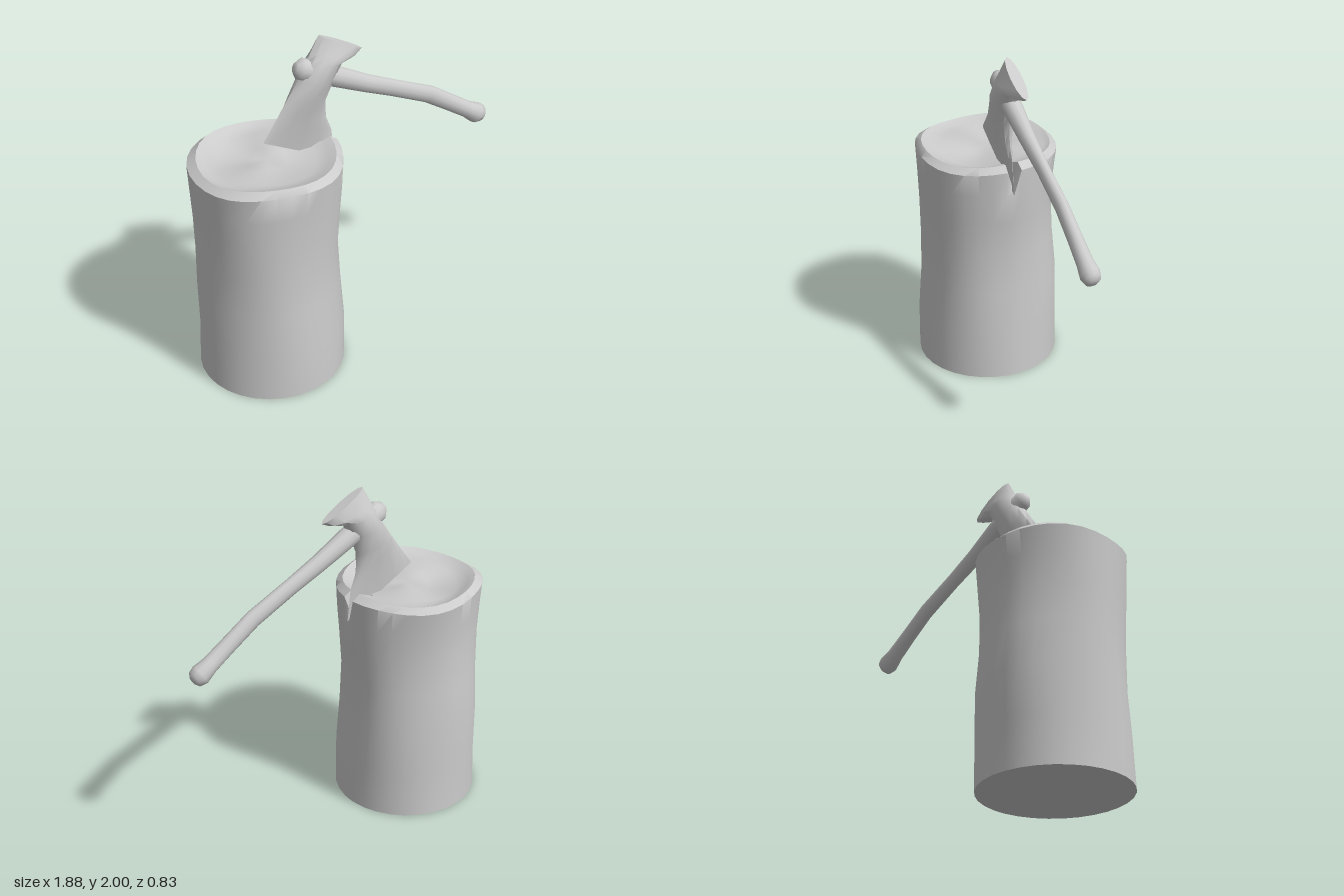
import * as THREE from 'three';
import { toCreasedNormals } from 'three/addons/utils/BufferGeometryUtils.js';

const material = new THREE.MeshStandardMaterial({ color: 0xcccccc });

// Closed skin over rings of points, with a fan cap at each end
function loft(rings, crease) {
  const n = rings[0].length, pos = [], index = [];
  rings.forEach((ring) => ring.forEach((p) => pos.push(p.x, p.y, p.z)));
  for (let i = 0; i < rings.length - 1; i++) {
    for (let j = 0; j < n; j++) {
      const k = (j + 1) % n, a = i * n, b = a + n;
      index.push(a + j, a + k, b + k, a + j, b + k, b + j);
    }
  }
  [rings[0], rings[rings.length - 1]].forEach((ring, end) => {
    const c = new THREE.Vector3();
    ring.forEach((p) => c.addScaledVector(p, 1 / n));
    const ci = pos.length / 3, base = end ? (rings.length - 1) * n : 0;
    pos.push(c.x, c.y, c.z);
    for (let j = 0; j < n; j++) {
      const k = (j + 1) % n;
      if (end) index.push(ci, base + j, base + k);
      else index.push(ci, base + k, base + j);
    }
  });
  const g = new THREE.BufferGeometry();
  g.setAttribute('position', new THREE.Float32BufferAttribute(pos, 3));
  g.setIndex(index);
  g.computeVertexNormals();
  return toCreasedNormals(g, crease);
}

function mesh(name, geometry) {
  const m = new THREE.Mesh(geometry, material);
  m.name = name;
  return m;
}

// Chopping stump: uneven trunk, raised bark rim, sunken top, split at the +x side
function stump() {
  const angles = [0, 0.1];
  for (let i = 1; i < 30; i++) angles.push(0.1 + (i * (Math.PI * 2 - 0.2)) / 30);
  angles.push(Math.PI * 2 - 0.1);
  // y, left x, right x, back z, front z
  const levels = [
    [0, -0.935, -0.095, -0.415, 0.42],
    [0.28, -0.93, -0.095, -0.415, 0.42],
    [0.55, -0.925, -0.108, -0.42, 0.395],
    [0.8, -0.922, -0.122, -0.4, 0.39],
    [1.02, -0.93, -0.105, -0.385, 0.395],
    [1.2, -0.938, -0.088, -0.395, 0.405],
    [1.34, -0.943, -0.082, -0.41, 0.415],
    [1.372, -0.89, -0.13, -0.37, 0.375],
    [1.355, -0.85, -0.17, -0.335, 0.335],
    [1.335, -0.78, -0.24, -0.27, 0.27],
    [1.335, -0.62, -0.4, -0.11, 0.11],
  ];
  const rings = levels.map(([y, l, r, back, front], level) => angles.map((a) => {
    const rough = 1 - (level > 0 && level < 7 ? 0.01 * (1 + Math.sin(5 * a + y * 3)) : 0);
    const p = new THREE.Vector3(
      (l + r) / 2 + Math.cos(a) * rough * (r - l) / 2,
      y,
      (back + front) / 2 - Math.sin(a) * rough * (front - back) / 2,
    );
    if (level > 5 && level < 9) p.y += 0.012 * Math.sin(3 * a + 1);
    if (level >= 9) p.y += 0.015 * Math.sin(2 * a);
    // split under the axe blade
    if (a === 0 && level > 5 && level < 9) { p.y -= 0.12; p.x -= 0.03; }
    return p;
  }));
  return mesh('stump', loft(rings, 0.9));
}

// Axe head: oval sections from the cutting edge up through the eye to the poll
function axeHead() {
  // blade-toe x, y, heel x, y, half thickness
  const sections = [
    [-0.53, 1.45, -0.085, 1.21, 0.004],
    [-0.45, 1.562, -0.105, 1.4, 0.025],
    [-0.415, 1.615, -0.138, 1.49, 0.04],
    [-0.37, 1.68, -0.143, 1.61, 0.058],
    [-0.31, 1.77, -0.095, 1.73, 0.08],
    [-0.255, 1.865, -0.045, 1.815, 0.077],
    [-0.23, 1.91, 0.045, 1.828, 0.062],
    [-0.18, 2.0, 0.09, 1.85, 0.035],
  ];
  const rings = sections.map(([ax, ay, bx, by, t]) => Array.from({ length: 12 }, (_, i) => {
    const a = (i / 12) * Math.PI * 2, s = 0.5 + 0.5 * Math.cos(a);
    return new THREE.Vector3(ax + (bx - ax) * s, ay + (by - ay) * s, 0.01 - Math.sin(a) * t);
  }));
  return mesh('axeHead', loft(rings, 0.75));
}

// Curved handle with a rounded end in the eye and a knob at the grip
function axeHandle() {
  // x, y, half height, half width
  const stations = [
    [-0.325, 1.85, 0.03, 0.025],
    [-0.295, 1.835, 0.062, 0.05],
    [-0.2, 1.785, 0.062, 0.055],
    [-0.08, 1.725, 0.06, 0.055],
    [0.11, 1.625, 0.053, 0.043],
    [0.3, 1.535, 0.05, 0.034],
    [0.54, 1.42, 0.052, 0.036],
    [0.7, 1.312, 0.05, 0.04],
    [0.82, 1.23, 0.05, 0.046],
    [0.88, 1.19, 0.062, 0.055],
    [0.915, 1.175, 0.05, 0.046],
    [0.93, 1.168, 0.025, 0.024],
  ];
  const rings = stations.map(([x, y, h, w], i) => {
    const p = stations[Math.max(i - 1, 0)], q = stations[Math.min(i + 1, stations.length - 1)];
    const d = new THREE.Vector2(q[0] - p[0], q[1] - p[1]).normalize();
    return Array.from({ length: 12 }, (_, j) => {
      const a = (j / 12) * Math.PI * 2, c = Math.cos(a) * h;
      return new THREE.Vector3(x - d.y * c, y + d.x * c, 0.01 + Math.sin(a) * w);
    });
  });
  return mesh('axeHandle', loft(rings, 1.1));
}

export function createModel() {
  const axe = new THREE.Group();
  axe.name = 'axe';
  axe.add(axeHead(), axeHandle());
  const model = new THREE.Group();
  model.name = 'axeInStump';
  model.add(stump(), axe);
  return model;
}
